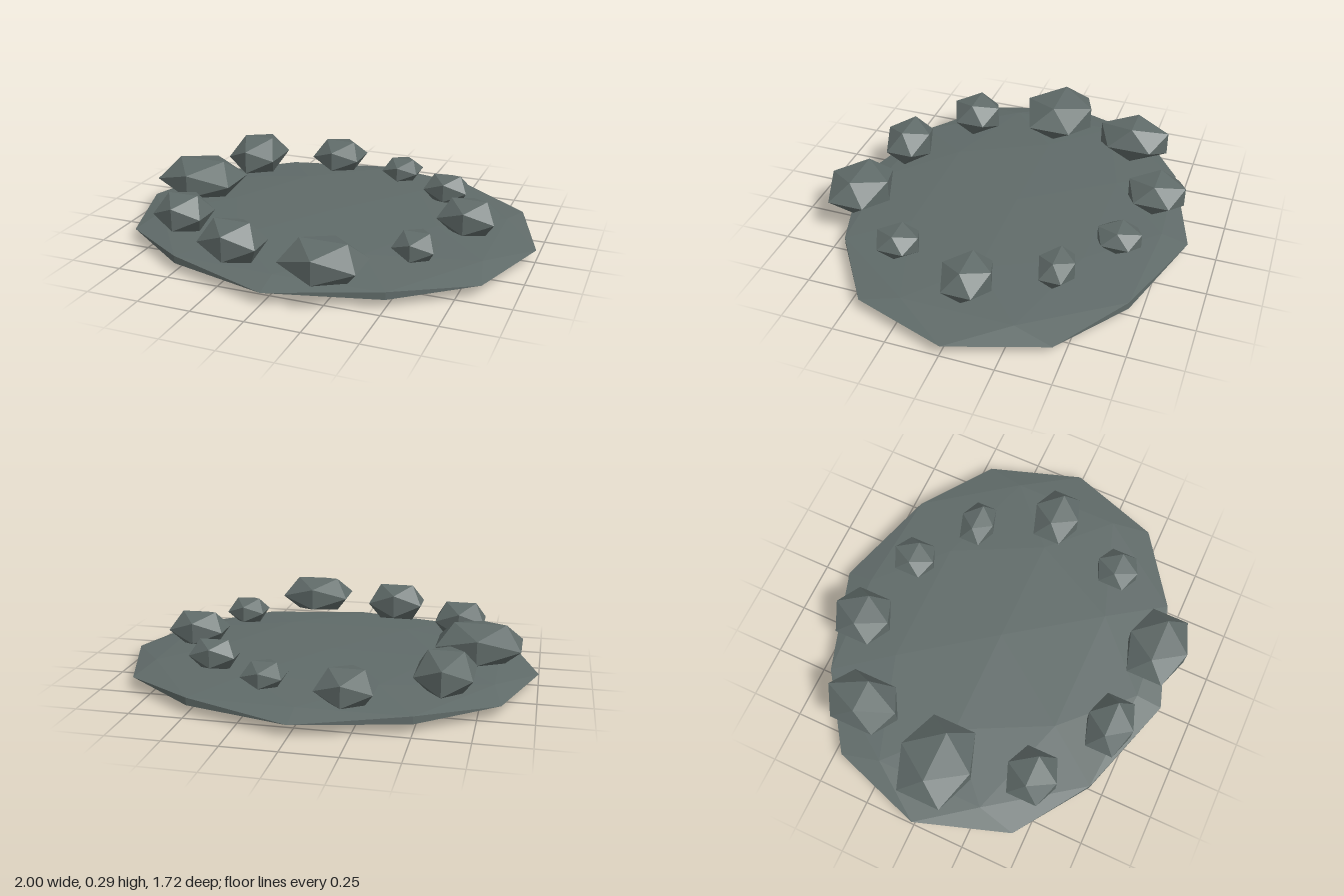
import * as THREE from 'three';

// A low-poly faceted slab with a ring of faceted stones on it.
export function createModel() {
  const group = new THREE.Group();
  const stone = new THREE.MeshStandardMaterial({ color: 0x606b69 });
  stone.name = 'greyStone';

  // Polyhedron geometry of detail 0 or 1, kept faceted, stretched per axis
  function facetedStone(name, detail, scale, position) {
    const geometry = new THREE.IcosahedronGeometry(1, detail);
    geometry.scale(...scale);
    geometry.deleteAttribute('normal');
    geometry.computeVertexNormals(); // non-indexed, so normals stay flat
    const mesh = new THREE.Mesh(geometry, stone);
    mesh.name = name;
    mesh.position.set(...position);
    group.add(mesh);
  }

  // Flat slab
  facetedStone('slab', 1, [1, 0.058, 0.853], [0, 0.058, -0.0075]);

  // Ring stones: centre x, z, half width, half depth, bottom y, top y
  const ring = [
    [-0.717, -0.008, 0.198, 0.174, 0.10, 0.288],
    [-0.604, -0.447, 0.128, 0.176, 0.10, 0.29],
    [-0.209, -0.655, 0.128, 0.139, 0.09, 0.25],
    [0.179, -0.567, 0.094, 0.104, 0.108, 0.222],
    [0.479, -0.358, 0.110, 0.083, 0.097, 0.239],
    [0.676, -0.008, 0.136, 0.113, 0.093, 0.261],
    [0.540, 0.382, 0.096, 0.102, 0.106, 0.234],
    [0.235, 0.714, 0.176, 0.144, 0.102, 0.28],
    [-0.217, 0.655, 0.141, 0.111, 0.09, 0.281],
    [-0.588, 0.420, 0.123, 0.122, 0.09, 0.268],
  ];
  const reach = 0.8507; // extent of a unit icosahedron along each axis
  ring.forEach(([x, z, hw, hd, y0, y1], i) => {
    const scale = [hw / reach, (y1 - y0) / 2 / reach, hd / reach];
    facetedStone(`ringStone${i + 1}`, 0, scale, [x, (y0 + y1) / 2, z]);
  });

  return group;
}
